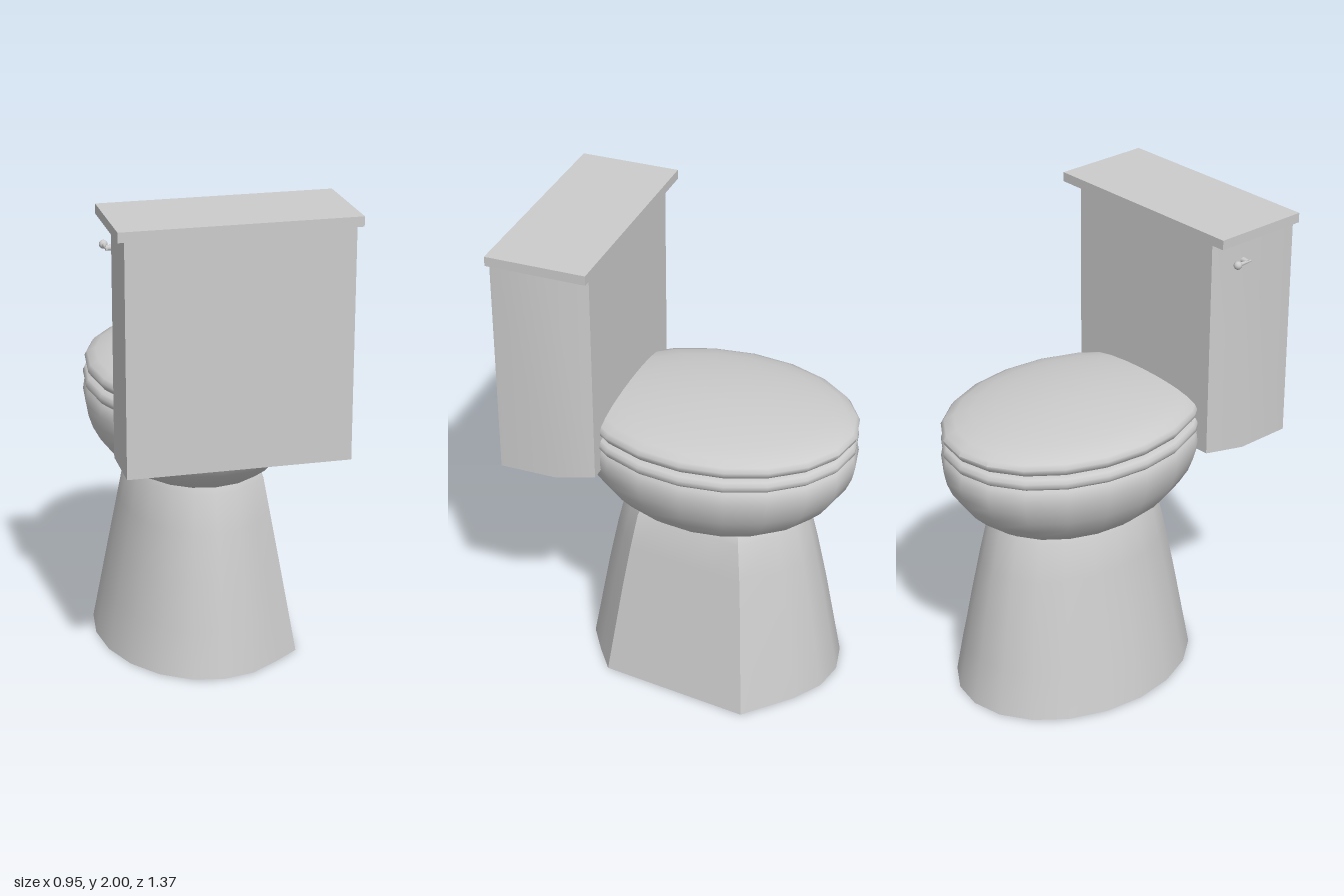
import * as THREE from 'three';
import { toCreasedNormals } from 'three/addons/utils/BufferGeometryUtils.js';

const material = new THREE.MeshStandardMaterial({ color: 0xcccccc, side: THREE.DoubleSide });
const SIDES = 20;
const CENTRE_Z = -0.095;

function add(group, name, geometry, x = 0, y = 0, z = 0) {
  const mesh = new THREE.Mesh(geometry, material);
  mesh.name = name;
  mesh.position.set(x, y, z);
  group.add(mesh);
  return mesh;
}

// Oval plan with 20 corners, running from the -z tip round through +x
function oval(rx, rz) {
  return Array.from({ length: SIDES }, (_, i) => {
    const a = (i / SIDES) * Math.PI * 2;
    return [Math.sin(a) * rx, -Math.cos(a) * rz];
  });
}

// Stacks scaled copies of a plan, listed bottom to top as [scaleX, scaleZ, y]
function loft(plan, sections, crease) {
  const n = plan.length, positions = [], index = [];
  for (const [sx, sz, y] of sections) {
    for (const [x, z] of plan) positions.push(x * sx, y, CENTRE_Z + z * sz);
  }
  for (let s = 0; s < sections.length - 1; s++) {
    for (let i = 0; i < n; i++) {
      const a = s * n + i, b = s * n + (i + 1) % n;
      index.push(a, a + n, b, b, a + n, b + n);
    }
  }
  // End caps
  const last = (sections.length - 1) * n;
  for (let i = 1; i < n - 1; i++) {
    index.push(0, i, i + 1, last, last + i + 1, last + i);
  }
  const g = new THREE.BufferGeometry();
  g.setAttribute('position', new THREE.Float32BufferAttribute(positions, 3));
  g.setIndex(index);
  return toCreasedNormals(g, crease);
}

const even = (rows) => rows.map(([s, y]) => [s, s, y]);

export function createModel() {
  const model = new THREE.Group();
  model.name = 'toilet';

  // Pedestal: tapered oval with one long flat side on +x
  const foot = oval(0.43, 0.55);
  const flatStart = [0.435, -0.27], flatEnd = [0.356, 0.368];
  for (let i = 3; i <= 7; i++) {
    const t = (i - 3) / 4;
    foot[i] = flatStart.map((v, k) => v + (flatEnd[k] - v) * t);
  }
  add(model, 'pedestal', loft(foot, [
    [1, 1, 0], [0.91, 0.935, 0.2], [0.82, 0.87, 0.4], [0.73, 0.795, 0.6],
    [0.66, 0.725, 0.76], [0.62, 0.70, 0.79], [0.5, 0.56, 0.80],
  ], 0.6));

  // Bowl, seat and lid share one oval plan
  const rim = oval(0.455, 0.59);
  add(model, 'bowl', loft(rim, even([
    [0.2, 0.735], [0.42, 0.745], [0.57, 0.765], [0.68, 0.795], [0.78, 0.835], [0.87, 0.887],
    [0.94, 0.945], [0.98, 1.0], [1, 1.055], [0.985, 1.1], [0.95, 1.12],
  ]), 0.9));
  add(model, 'seat', loft(rim, even([
    [0.93, 1.108], [0.975, 1.112], [0.995, 1.125], [0.995, 1.142], [0.975, 1.157], [0.93, 1.163],
  ]), 0.9));
  add(model, 'seatLid', loft(oval(0.445, 0.59), even([
    [0.92, 1.163], [0.97, 1.172], [0.995, 1.188], [1, 1.203], [0.975, 1.22], [0.9, 1.237],
    [0.77, 1.253], [0.6, 1.266], [0.4, 1.277], [0.2, 1.283], [0.04, 1.285],
  ]), 0.9));

  // Tank: box with long chamfers beside the seat
  const outline = new THREE.Shape([
    [-0.447, -0.68], [0.447, -0.68], [0.447, -0.44], [0.39, -0.29], [-0.39, -0.29], [-0.447, -0.44],
  ].map(([x, y]) => new THREE.Vector2(x, y)));
  const tank = new THREE.ExtrudeGeometry(outline, { depth: 0.94, bevelEnabled: false });
  tank.rotateX(-Math.PI / 2);
  add(model, 'tank', toCreasedNormals(tank, 0.6), 0, 1.02, 0);
  add(model, 'tankLid', new THREE.BoxGeometry(0.945, 0.04, 0.42), 0, 1.98, 0.477);

  // Flush handle on the -x side: pivot, lever and knob
  const handle = new THREE.Group();
  handle.name = 'flushHandle';
  add(handle, 'pivot', new THREE.CylinderGeometry(0.01, 0.012, 0.03, 10).rotateZ(Math.PI / 2), -0.45, 1.865, 0.415);
  add(handle, 'lever', new THREE.CylinderGeometry(0.01, 0.004, 0.075, 10).rotateX(-Math.PI / 2), -0.462, 1.865, 0.395);
  add(handle, 'knob', new THREE.SphereGeometry(0.017, 12, 8), -0.462, 1.865, 0.362);
  model.add(handle);

  return model;
}
